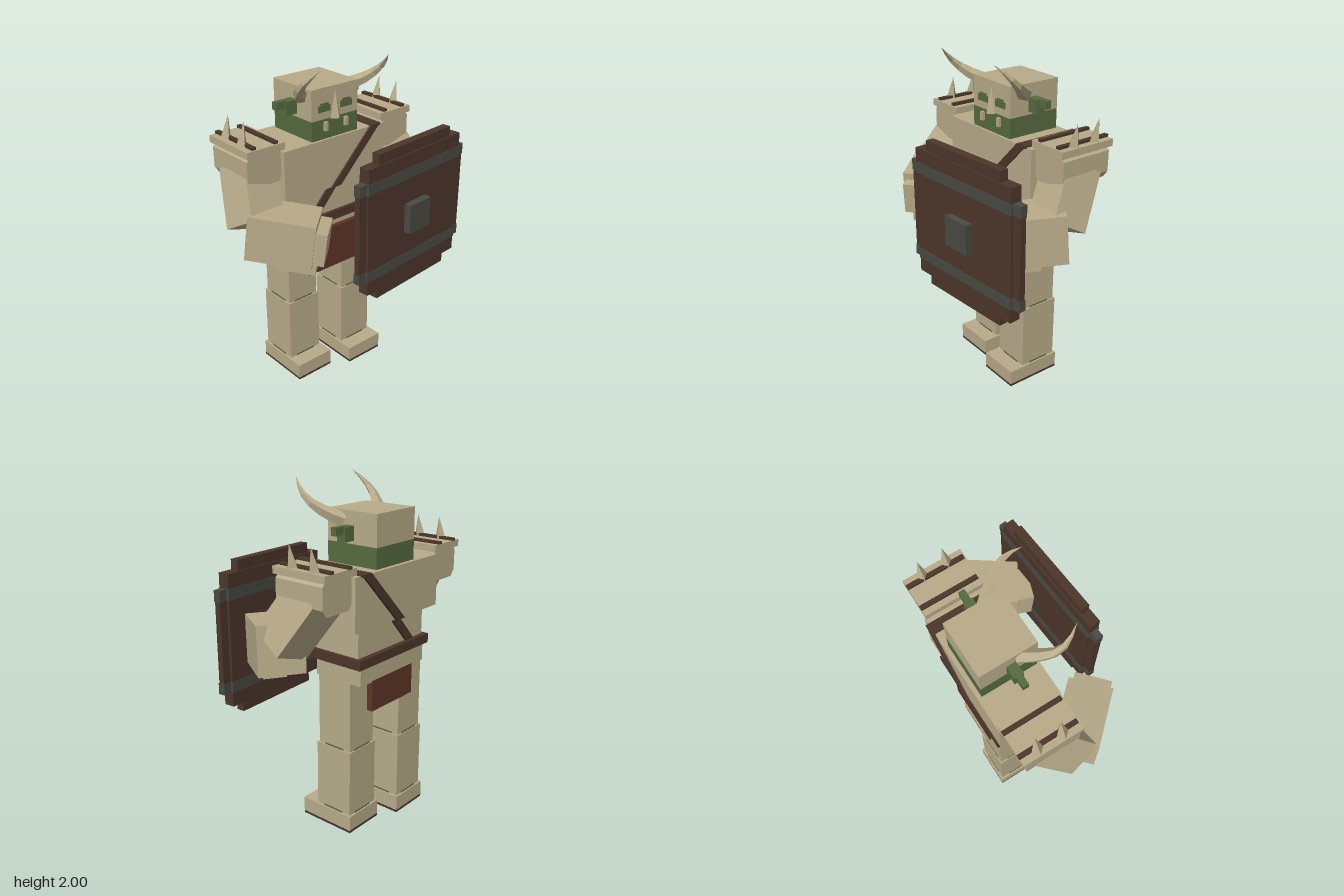
import * as THREE from 'three';

const CX = -0.0085; // mirror plane of the body

export function createModel() {
  const model = new THREE.Group();
  const mat = (name, color) => {
    const m = new THREE.MeshStandardMaterial({ color });
    m.name = name;
    return m;
  };
  const skin = mat('tan', 0xb8ab89);
  const brown = mat('dark brown', 0x4c362b);
  const green = mat('moss green', 0x566b40);
  const red = mat('red brown', 0x5f3426);
  const grey = mat('iron grey', 0x494a42);

  const add = (name, geo, m, parent = model) => {
    const mesh = new THREE.Mesh(geo, m);
    mesh.name = name;
    parent.add(mesh);
    return mesh;
  };
  // Box given by its limits on each axis
  const block = (name, m, [x0, x1], [y0, y1], [z0, z1], parent = model) => {
    const mesh = add(name, new THREE.BoxGeometry(x1 - x0, y1 - y0, z1 - z0), m, parent);
    mesh.position.set((x0 + x1) / 2, (y0 + y1) / 2, (z0 + z1) / 2);
    return mesh;
  };
  // Box limits mirrored to one side of the body
  const side = (s, a, b) => (s > 0 ? [CX + a, CX + b] : [CX - b, CX - a]);
  const faceted = (geo) => {
    const g = geo.toNonIndexed();
    g.computeVertexNormals();
    return g;
  };
  // Box whose length runs along dir
  const limb = (name, center, dir, size, up = [0, 1, 0]) => {
    const mesh = add(name, new THREE.BoxGeometry(...size), skin);
    mesh.up.set(...up);
    mesh.lookAt(new THREE.Vector3(...dir));
    mesh.position.set(...center);
    return mesh;
  };

  // Torso, pelvis and belt
  block('chest', skin, [-0.38, 0.36], [1.25, 1.55], [-0.395, -0.02]);
  block('waist', skin, [-0.3, 0.285], [1.07, 1.25], [-0.355, -0.05]);
  block('pelvis', skin, [-0.295, 0.28], [0.925, 1.035], [-0.37, -0.055]);
  block('belt', brown, [-0.325, 0.31], [1.03, 1.085], [-0.387, -0.03]);

  // Shoulder strap crossing chest and waist, front and back
  const strap = (xTop, yTop, xLow, yLow, z) => {
    const w = 0.034;
    const shape = new THREE.Shape([
      [xTop - w, yTop], [xLow - w, yLow], [xLow + w, yLow], [xTop + w, yTop],
    ].map((p) => new THREE.Vector2(...p)));
    const geo = new THREE.ExtrudeGeometry(shape, { depth: 0.018, bevelEnabled: false });
    add('strap', geo, brown).position.z = z;
  };
  for (const z of [-0.412, -0.027]) strap(0.283, 1.56, -0.02, 1.25, z);
  for (const z of [-0.37, -0.055]) strap(-0.02, 1.25, -0.19, 1.06, z);
  block('strapTop', brown, [0.25, 0.317], [1.545, 1.56], [-0.412, -0.01]);

  // Loincloths
  block('frontCloth', red, [-0.24, 0.22], [0.78, 0.99], [-0.05, -0.025]);
  block('frontClothHem', red, [-0.215, 0.195], [0.72, 0.78], [-0.05, -0.03]);
  block('backCloth', red, [-0.19, 0.18], [0.75, 0.932], [-0.372, -0.335]);

  // Legs, the left one a little further forward
  for (const s of [-1, 1]) {
    const leg = new THREE.Group();
    leg.name = s > 0 ? 'leftLeg' : 'rightLeg';
    leg.position.set(CX + s * 0.179, 0, s > 0 ? -0.178 : -0.248);
    model.add(leg);
    block('sole', brown, [-0.128, 0.128], [0, 0.015], [-0.135, 0.222], leg);
    block('foot', skin, [-0.128, 0.128], [0.015, 0.105], [-0.135, 0.222], leg);
    block('shin', skin, [-0.114, 0.114], [0.105, 0.505], [-0.122, 0.122], leg);
    block('thigh', skin, [-0.104, 0.104], [0.505, 0.94], [-0.113, 0.113], leg);
    for (const [y, w, d] of [[0.109, 0.114, 0.122], [0.509, 0.104, 0.113]]) {
      block('jointTrim', green, [-0.068, 0.068], [y - 0.004, y + 0.004], [-d - 0.004, d + 0.004], leg);
      block('jointTrim', green, [-w - 0.004, w + 0.004], [y - 0.004, y + 0.004], [-0.068, 0.068], leg);
    }
  }

  // Head and jaw
  block('head', skin, [-0.175, 0.157], [1.665, 1.842], [-0.37, -0.035]);
  block('jaw', green, [-0.175, 0.157], [1.55, 1.665], [-0.37, -0.035]);
  const nose = add('nose', faceted(new THREE.ConeGeometry(0.034, 0.16, 4)), skin);
  nose.position.set(CX, 1.74, -0.033);

  for (const s of [-1, 1]) {
    // Eyes, tusks and ears
    block('eye', green, side(s, 0.035, 0.122), [1.708, 1.745], [-0.037, -0.03]);
    block('brow', green, side(s, 0.05, 0.105), [1.745, 1.757], [-0.037, -0.03]);
    block('tusk', skin, side(s, 0.062, 0.085), [1.6, 1.65], [-0.04, -0.018]);
    block('earBase', green, side(s, 0.16, 0.24), [1.685, 1.765], [-0.217, -0.162]);
    block('earTip', green, side(s, 0.23, 0.3), [1.725, 1.77], [-0.207, -0.172]);

    // Curved horn: a tube narrowed to a point
    const path = new THREE.CatmullRomCurve3([
      [0.155, 1.785, -0.14], [0.225, 1.83, -0.06], [0.272, 1.89, 0.015],
      [0.266, 1.945, 0.075], [0.235, 2.0, 0.132],
    ].map(([x, y, z]) => new THREE.Vector3(CX + s * x, y, z)));
    const rings = 6, sides = 5;
    const horn = new THREE.TubeGeometry(path, rings, 0.043, sides, false);
    const pos = horn.attributes.position, v = new THREE.Vector3();
    for (let i = 0; i <= rings; i++) {
      const c = path.getPointAt(i / rings);
      const r = Math.max(0.01, 1 - (i / rings) ** 1.3);
      for (let j = 0; j <= sides; j++) {
        const k = i * (sides + 1) + j;
        v.fromBufferAttribute(pos, k).sub(c).multiplyScalar(r).add(c);
        pos.setXYZ(k, v.x, v.y, v.z);
      }
    }
    add('horn', faceted(horn), skin);

    // Shoulder block with cut corners
    const [x0, x1] = side(s, 0.36, 0.59), c = 0.03;
    const outline = new THREE.Shape([
      [x0 + c, 1.38], [x1 - c, 1.38], [x1, 1.42], [x1, 1.54],
      [x1 - c, 1.565], [x0 + c, 1.565], [x0, 1.54], [x0, 1.42],
    ].map((p) => new THREE.Vector2(...p)));
    add('shoulder', new THREE.ExtrudeGeometry(outline, { depth: 0.32, bevelEnabled: false }), skin)
      .position.z = -0.37;

    // Shoulder pad with straps and spikes
    block('shoulderPad', skin, side(s, 0.352, 0.595), [1.56, 1.6], [-0.39, -0.035]);
    for (const x of [0.388, 0.53]) {
      block('padStrap', brown, side(s, x, x + 0.026), [1.6, 1.615], [-0.392, -0.045]);
    }
    for (const z of [-0.29, -0.142]) {
      const geo = new THREE.ConeGeometry(0.035, 0.13, 4);
      const p = geo.attributes.position;
      for (let i = 0; i < p.count; i++) {
        if (p.getY(i) > 0) p.setX(i, p.getX(i) + 0.025);
      }
      add('spike', faceted(geo), skin).position.set(CX + s * 0.557, 1.664, z);
    }

    // Upper arm, leaning outward and forward
    limb('upperArm', [CX + s * 0.515, 1.31, -0.13], [s * 0.25, -0.8, 0.5],
      [0.225, 0.225, 0.34], [0, 0, 1]);
  }

  // Forearms and hands
  limb('rightForearm', [-0.47, 1.135, 0.075], [0.67, -0.12, 0.74], [0.255, 0.26, 0.365]);
  limb('rightHand', [-0.345, 1.105, 0.222], [0.67, -0.12, 0.74], [0.215, 0.19, 0.1]);
  limb('leftForearm', [0.49, 1.14, 0.06], [-0.54, -0.08, 0.84], [0.26, 0.28, 0.33]);
  limb('leftHand', [0.405, 1.11, 0.215], [-0.3, -0.08, 0.9], [0.2, 0.19, 0.13]);
  limb('rightThumb', [-0.43, 0.975, 0.14], [0.67, -0.12, 0.74], [0.13, 0.07, 0.22]);
  limb('leftThumb', [0.46, 0.975, 0.13], [-0.54, -0.08, 0.84], [0.13, 0.07, 0.22]);

  // Shield of three overlapping plates with iron bands and boss
  const shield = new THREE.Group();
  shield.name = 'shield';
  shield.position.set(0.245, 1.13, 0.325);
  shield.rotation.set(0, 0.075, 0.006);
  model.add(shield);
  const plate = (name, m, w, h, d, y = 0, z = 0) =>
    add(name, new THREE.BoxGeometry(w, h, d), m, shield).position.set(0, y, z);
  plate('shieldTallPlate', brown, 0.6, 0.885, 0.05);
  plate('shieldMainPlate', brown, 0.775, 0.765, 0.066);
  plate('shieldWidePlate', brown, 0.88, 0.595, 0.036);
  for (const y of [-0.267, 0.267]) {
    plate('shieldBand', grey, 0.781, 0.064, 0.072, y);
    plate('shieldBandEnd', grey, 0.886, 0.064, 0.042, y);
  }
  plate('shieldBoss', grey, 0.175, 0.175, 0.05, 0, 0.052);

  return model;
}
